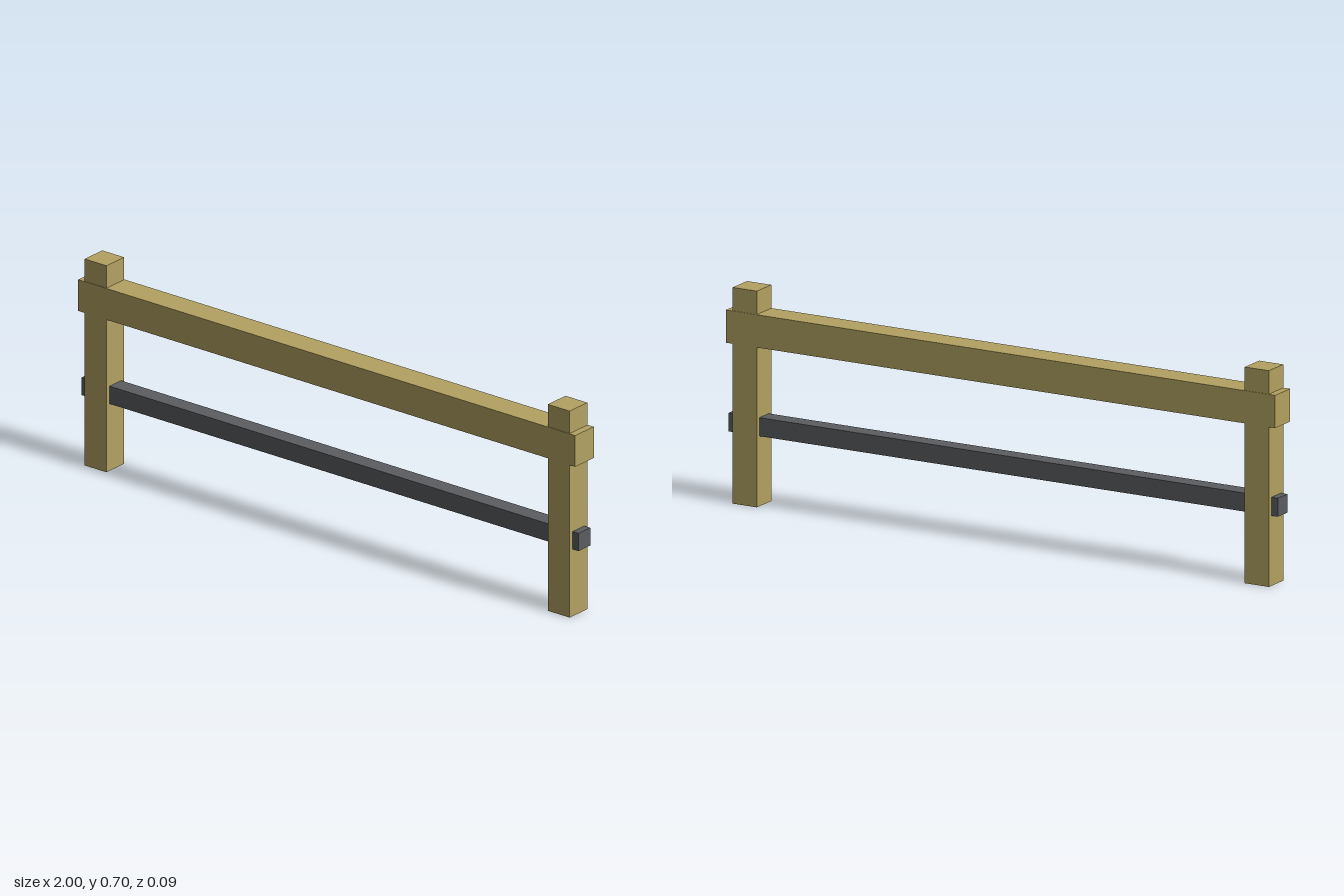
import * as THREE from 'three';

export function createModel() {
  const group = new THREE.Group();
  const wood = new THREE.MeshStandardMaterial({ color: 0xb3a262 });
  wood.name = 'wood';
  const darkGrey = new THREE.MeshStandardMaterial({ color: 0x5b5d60 });
  darkGrey.name = 'darkGrey';

  // Box spanning y0..y1, centred on x and on z = 0
  const addBeam = (name, material, width, y0, y1, depth, x = 0) => {
    const mesh = new THREE.Mesh(new THREE.BoxGeometry(width, y1 - y0, depth), material);
    mesh.name = name;
    mesh.position.set(x, (y0 + y1) / 2, 0);
    group.add(mesh);
  };

  // Posts
  addBeam('leftPost', wood, 0.088, 0, 0.7, 0.088, 0.932);
  addBeam('rightPost', wood, 0.088, 0, 0.7, 0.088, -0.932);

  // Rails run through both posts
  addBeam('topRail', wood, 2, 0.518, 0.624, 0.092);
  addBeam('lowerRail', darkGrey, 2, 0.227, 0.287, 0.058);

  return group;
}
